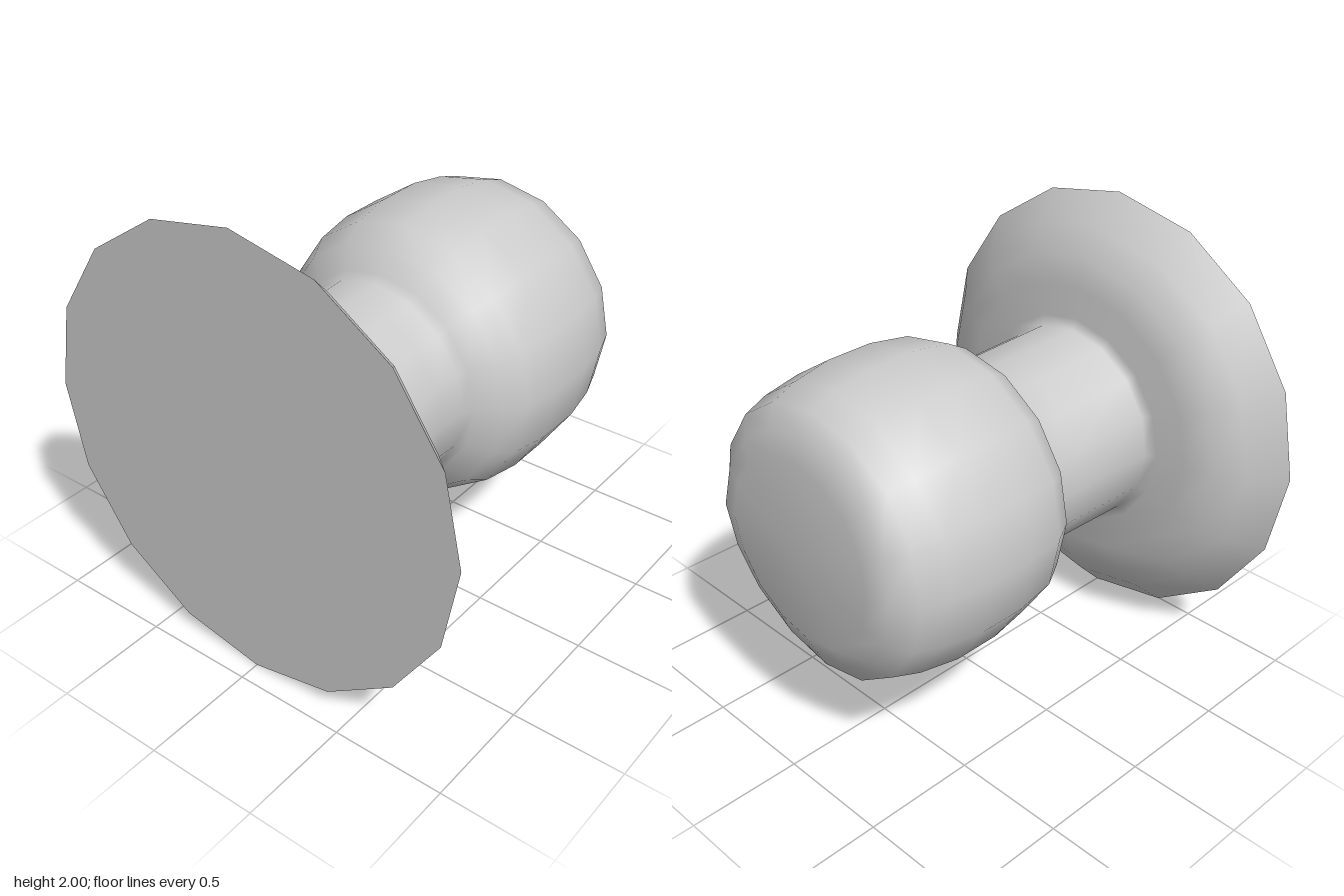
import * as THREE from 'three';
import { mergeVertices } from 'three/addons/utils/BufferGeometryUtils.js';

const SIDES = 16;

// [position along the x axis, radius], from the wall to the grip face
const PROFILE = [
  [-0.91, 1], [-0.78, 0.87], [-0.70, 0.755], [-0.67, 0.63], [-0.66, 0.49], [-0.64, 0.445], // flange
  [-0.24, 0.437], [-0.1, 0.443], [-0.06, 0.47],                                           // neck
  [0, 0.57], [0.1, 0.625], [0.29, 0.655], [0.5, 0.655], [0.68, 0.625], [0.8, 0.585],      // grip
  [0.845, 0.495], [0.89, 0.4], [0.905, 0],                                                // grip face
];

// How far the face rings bulge towards a horizontal ridge
const BULGE = { 15: 0.035, 16: 0.015 };

export function createModel() {
  const group = new THREE.Group();
  group.name = 'doorKnob';
  const material = new THREE.MeshStandardMaterial({ color: 0xcccccc });

  // Flange, neck and grip turned as one smooth body around the x axis
  let body = new THREE.LatheGeometry(PROFILE.map(([x, r]) => new THREE.Vector2(r, x)), SIDES);
  body.rotateZ(-Math.PI / 2);

  // Slight ridge across the grip face
  const pos = body.attributes.position;
  for (let i = 0; i < pos.count; i++) {
    const ring = i % PROFILE.length;
    const bulge = BULGE[ring];
    if (bulge) pos.setX(i, pos.getX(i) + bulge * (1 - Math.abs(pos.getY(i)) / PROFILE[ring][1]));
  }
  body.deleteAttribute('uv');
  body.deleteAttribute('normal');
  body = mergeVertices(body, 1e-4);
  body.computeVertexNormals();
  const knob = new THREE.Mesh(body, material);
  knob.name = 'knobBody';

  // Flat disc against the door
  const disc = new THREE.CircleGeometry(1, SIDES);
  disc.rotateY(-Math.PI / 2);
  const back = new THREE.Mesh(disc, material);
  back.name = 'flangeBack';
  back.position.x = PROFILE[0][0];

  group.add(knob, back);
  group.position.y = 1;
  return group;
}
